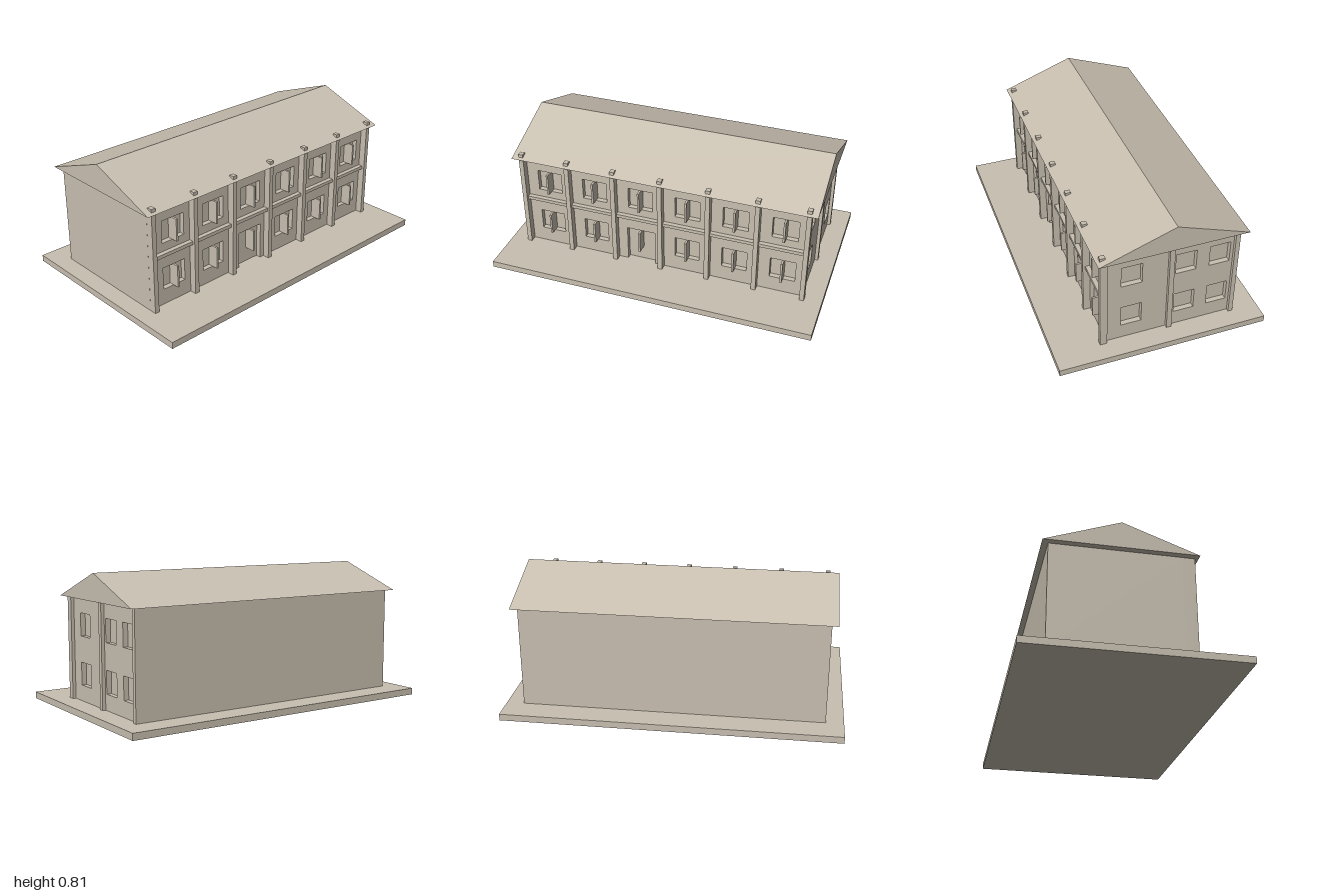
import * as THREE from 'three';

export function createModel() {
  const house = new THREE.Group();
  house.name = 'house';
  const stone = new THREE.MeshStandardMaterial({ color: 0xc8bfb0 });
  stone.name = 'warm stone';

  const add = (name, geometry) => {
    const mesh = new THREE.Mesh(geometry, stone);
    mesh.name = name;
    house.add(mesh);
    return mesh;
  };
  // Box given by its lower and upper limits on each axis
  const box = (name, x0, x1, y0, y1, z0, z1) =>
    add(name, new THREE.BoxGeometry(x1 - x0, y1 - y0, z1 - z0))
      .position.set((x0 + x1) / 2, (y0 + y1) / 2, (z0 + z1) / 2);
  const polygon = (points) => points.map(([x, y]) => new THREE.Vector2(x, y));
  const rectHole = (x0, x1, y0, y1) =>
    new THREE.Path(polygon([[x0, y0], [x0, y1], [x1, y1], [x1, y0]]));

  const GROUND = 0.04, EAVE = 0.656, RECESS = 0.03;
  const LEFT = 0.875, RIGHT = -0.895, FRONT = 0.308, BACK = -0.465;
  const floors = [[0.135, 0.271], [0.427, 0.563]];
  const bay = 0.2935, doorBay = 2;

  // Base slab and solid core behind the pierced walls
  box('baseSlab', -1, 1, 0, GROUND, -0.62, 0.62);
  box('core', RIGHT, LEFT - RECESS, GROUND, EAVE, BACK, FRONT - RECESS);

  // Front wall: a doorway notch and window openings, with projecting mullions
  const doorX = -0.72 + bay * doorBay;
  const frontShape = new THREE.Shape(polygon([
    [RIGHT, GROUND], [doorX - 0.089, GROUND], [doorX - 0.089, 0.271],
    [doorX + 0.089, 0.271], [doorX + 0.089, GROUND], [LEFT, GROUND],
    [LEFT, EAVE], [RIGHT, EAVE],
  ]));
  for (let i = 0; i < 6; i++) {
    const x = -0.72 + bay * i;
    floors.forEach(([y0, y1], floor) => {
      if (floor > 0 || i !== doorBay) {
        frontShape.holes.push(rectHole(x - 0.077, x + 0.077, y0, y1));
      }
      box('mullion', x - 0.006, x + 0.006, y0, y1, FRONT - RECESS, 0.346);
    });
  }
  add('frontWall', new THREE.ExtrudeGeometry(frontShape, { depth: RECESS, bevelEnabled: false }))
    .position.z = FRONT - RECESS;

  // Side wall with windows, drawn with shape x along -z
  const sideShape = new THREE.Shape(polygon([
    [-(FRONT - RECESS), GROUND], [-BACK, GROUND], [-BACK, EAVE], [-(FRONT - RECESS), EAVE],
  ]));
  for (const z of [0.161, -0.157, -0.358]) {
    for (const [y0, y1] of floors) {
      sideShape.holes.push(rectHole(-z - 0.061, -z + 0.061, y0, y1));
    }
  }
  const sideWall = add('sideWall',
    new THREE.ExtrudeGeometry(sideShape, { depth: RECESS, bevelEnabled: false }));
  sideWall.rotation.y = Math.PI / 2;
  sideWall.position.x = LEFT - RECESS;

  // Front pillars, their tops poking through the eave, and floor bands between
  for (let i = 0; i < 7; i++) {
    const x = (i - 3) * bay;
    box('frontPillar', x - 0.014, x + 0.014, GROUND, EAVE, FRONT, 0.35);
    box('pillarTop', x - 0.014, x + 0.014, EAVE, 0.683, 0.318, 0.35);
    if (i < 6) box('floorBand', x + 0.014, x + bay - 0.014, 0.355, 0.376, FRONT, 0.335);
  }

  // Side pilasters
  for (const [z0, z1] of [[-0.08, -0.05], [BACK, -0.438]]) {
    box('sidePilaster', LEFT, 0.895, GROUND, EAVE, z0, z1);
  }

  // Gabled roof, extruded along x
  const gable = new THREE.Shape(polygon([[-0.37, EAVE], [0.5, EAVE], [0.067, 0.815]]));
  const roof = add('roof', new THREE.ExtrudeGeometry(gable, { depth: 1.864, bevelEnabled: false }));
  roof.rotation.y = Math.PI / 2;
  roof.position.x = -0.932;

  return house;
}
